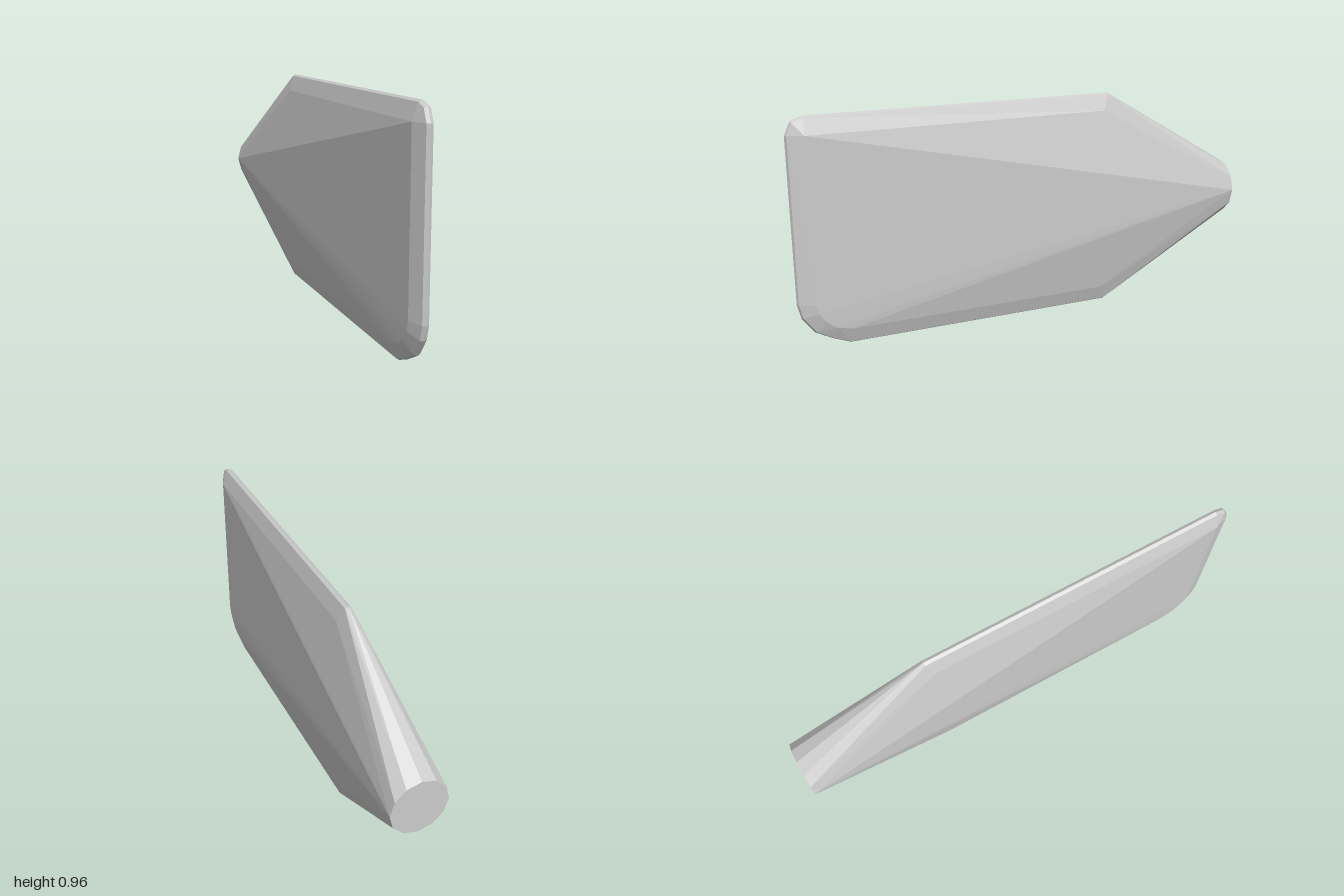
import * as THREE from 'three';
import { ConvexGeometry } from 'three/addons/geometries/ConvexGeometry.js';

// Blade outline as pairs [z, y] on the outer rim and [z, y] on the flat face edge
const outline = [
  [-0.39, 0.962, -0.36, 0.89],
  [0.93, 0.962, 0.93, 0.89],
  [0.975, 0.945, 0.93, 0.89],
  [1, 0.89, 0.93, 0.89],
  [1, 0.2, 0.93, 0.2],
  [0.985, 0.14, 0.92, 0.16],
  [0.935, 0.07, 0.89, 0.12],
  [0.86, 0.03, 0.85, 0.09],
  [0.79, 0.002, 0.79, 0.075],
  [-0.39, 0.002, -0.36, 0.075],
];

// Rounded rim: half thickness and how far inward from rim to face
const layers = [[0, 0], [0.013, 0.1], [0.036, 1]];

export function createModel() {
  const group = new THREE.Group();
  const points = [];

  // Thin slab with a rounded rim, mirrored left and right
  for (const [x, t] of layers) {
    for (const [z0, y0, z1, y1] of outline) {
      const z = THREE.MathUtils.lerp(z0, z1, t);
      const y = THREE.MathUtils.lerp(y0, y1, t);
      for (const side of x ? [-1, 1] : [1]) points.push(new THREE.Vector3(side * x, y, z));
    }
  }

  // Round end at the back that the slab tapers into
  const sides = 12;
  for (let i = 0; i < sides; i++) {
    const a = (i / sides) * Math.PI * 2;
    points.push(new THREE.Vector3(0.119 * Math.cos(a), 0.483 + 0.122 * Math.sin(a), -1));
  }

  const material = new THREE.MeshStandardMaterial({ color: 0xcccccc, flatShading: true });
  const blade = new THREE.Mesh(new ConvexGeometry(points), material);
  blade.name = 'taperedBlade';
  group.add(blade);
  return group;
}
